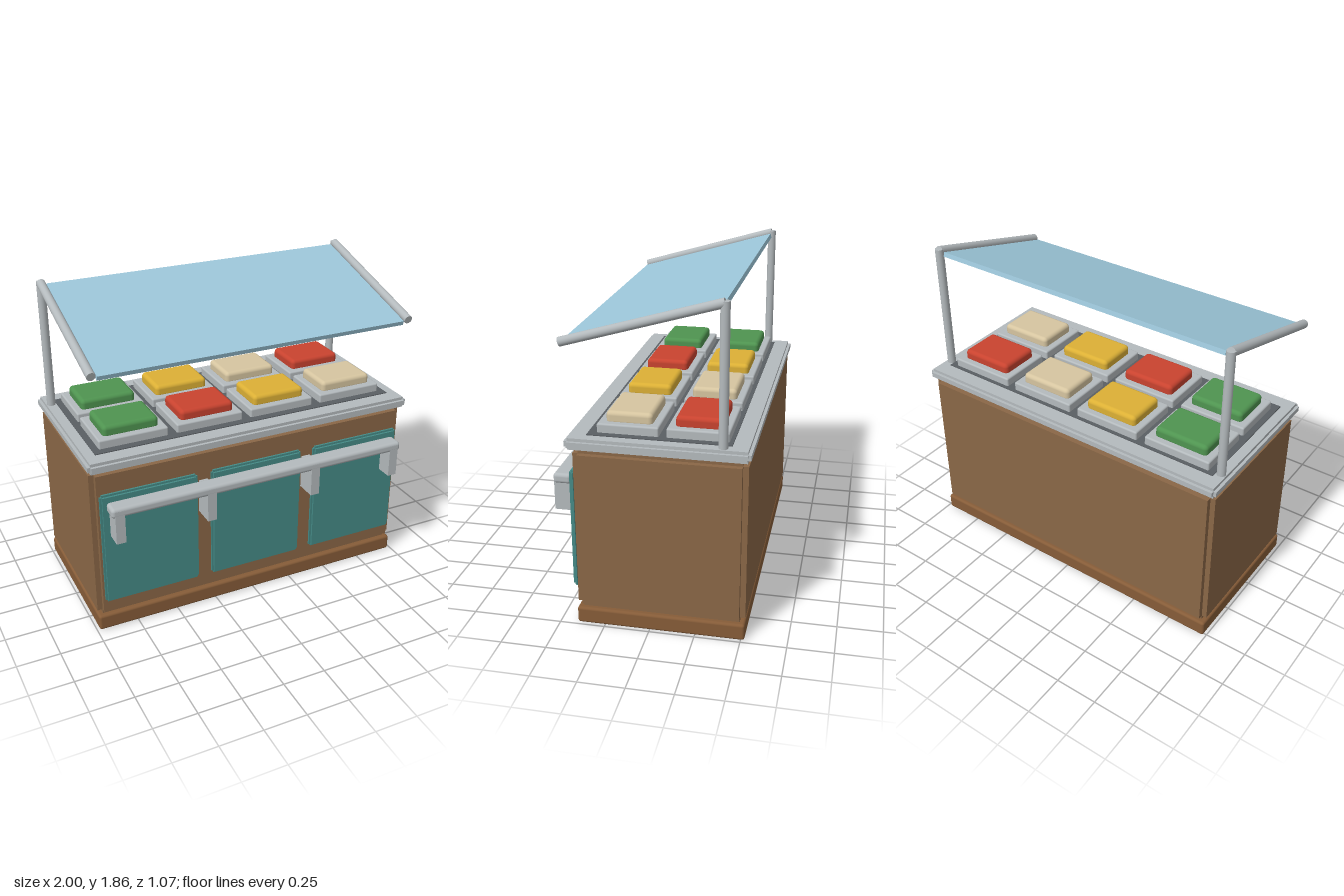
import * as THREE from 'three';
import { RoundedBoxGeometry } from 'three/addons/geometries/RoundedBoxGeometry.js';

const paint = (name, color) => {
  const m = new THREE.MeshStandardMaterial({ color });
  m.name = name;
  return m;
};

export function createModel() {
  const wood = paint('wood brown', 0x8a6746);
  const plinthWood = paint('plinth brown', 0x865c38);
  const teal = paint('door teal', 0x458a86);
  const metal = paint('brushed metal', 0xb4babd);
  const dark = paint('dark well', 0x5a5f63);
  const glass = paint('glass blue', 0x9cc6d9);
  const green = paint('green', 0x4f9450);
  const red = paint('red', 0xc9432f);
  const yellow = paint('yellow', 0xdcb035);
  const cream = paint('cream', 0xd6c5a0);

  const model = new THREE.Group();
  model.name = 'foodCounter';

  const add = (name, geometry, material, x, y, z, parent = model) => {
    const mesh = new THREE.Mesh(geometry, material);
    mesh.name = name;
    mesh.position.set(x, y, z);
    parent.add(mesh);
    return mesh;
  };
  const box = (w, h, d) => new THREE.BoxGeometry(w, h, d);
  const rounded = (w, h, d, r) => new RoundedBoxGeometry(w, h, d, 3, r);

  // Block with stepped edges: three crossing boxes, each full size along one axis
  const stepped = (name, w, h, d, s, material, x, y, z) => {
    const group = new THREE.Group();
    group.name = name;
    group.position.set(x, y, z);
    const i = 2 * s;
    add(name + 'Wide', box(w, h - i, d - i), material, 0, 0, 0, group);
    add(name + 'Tall', box(w - i, h, d - i), material, 0, 0, 0, group);
    add(name + 'Deep', box(w - i, h - i, d), material, 0, 0, 0, group);
    model.add(group);
  };

  // Cabinet
  add('plinth', rounded(1.97, 0.095, 0.925, 0.015), plinthWood, 0, 0.0475, -0.058);
  stepped('cabinet', 1.97, 0.94, 0.925, 0.03, wood, 0, 0.563, -0.058);
  for (const x of [-0.658, 0, 0.658]) {
    stepped('door', 0.575, 0.69, 0.036, 0.012, teal, x, 0.548, 0.417);
  }

  // Countertop with its recessed well
  stepped('countertop', 2, 0.064, 0.975, 0.017, metal, 0, 1.063, -0.0475);
  add('well', box(1.85, 0.02, 0.765), dark, 0, 1.09, -0.048);

  // Tray rail on four brackets
  add('trayRail', rounded(1.83, 0.058, 0.1, 0.02), metal, 0, 0.827, 0.483);
  for (const x of [-0.87, -0.33, 0.33, 0.87]) {
    add('railBracket', box(0.055, 0.2, 0.125), metal, x, 0.74, 0.47);
  }

  // Two rows of pans with food
  const rows = [
    { z: 0.125, foods: [green, red, yellow, cream] },
    { z: -0.245, foods: [green, yellow, cream, red] },
  ];
  for (const { z, foods } of rows) {
    foods.forEach((food, i) => {
      const x = (i - 1.5) * 0.457;
      add('pan', rounded(0.405, 0.065, 0.33, 0.01), metal, x, 1.117, z);
      add('food', rounded(0.325, 0.075, 0.25, 0.024), food, x, 1.168, z);
    });
  }

  // Sneeze guard: posts, sloping arms and pane
  const tilt = 0.281;
  for (const side of [-1, 1]) {
    const x = side * 0.953;
    add('post', new THREE.CylinderGeometry(0.025, 0.025, 0.76, 20), metal, x, 1.47, -0.388);
    const arm = add('guardArm', new THREE.CylinderGeometry(0.025, 0.025, 0.872, 20), metal, x, 1.72, 0.03);
    arm.rotation.x = Math.PI / 2 + tilt;
  }
  const pane = add('guardPane', box(1.845, 0.026, 0.865), glass, 0, 1.703, 0.03);
  pane.rotation.x = tilt;

  return model;
}
